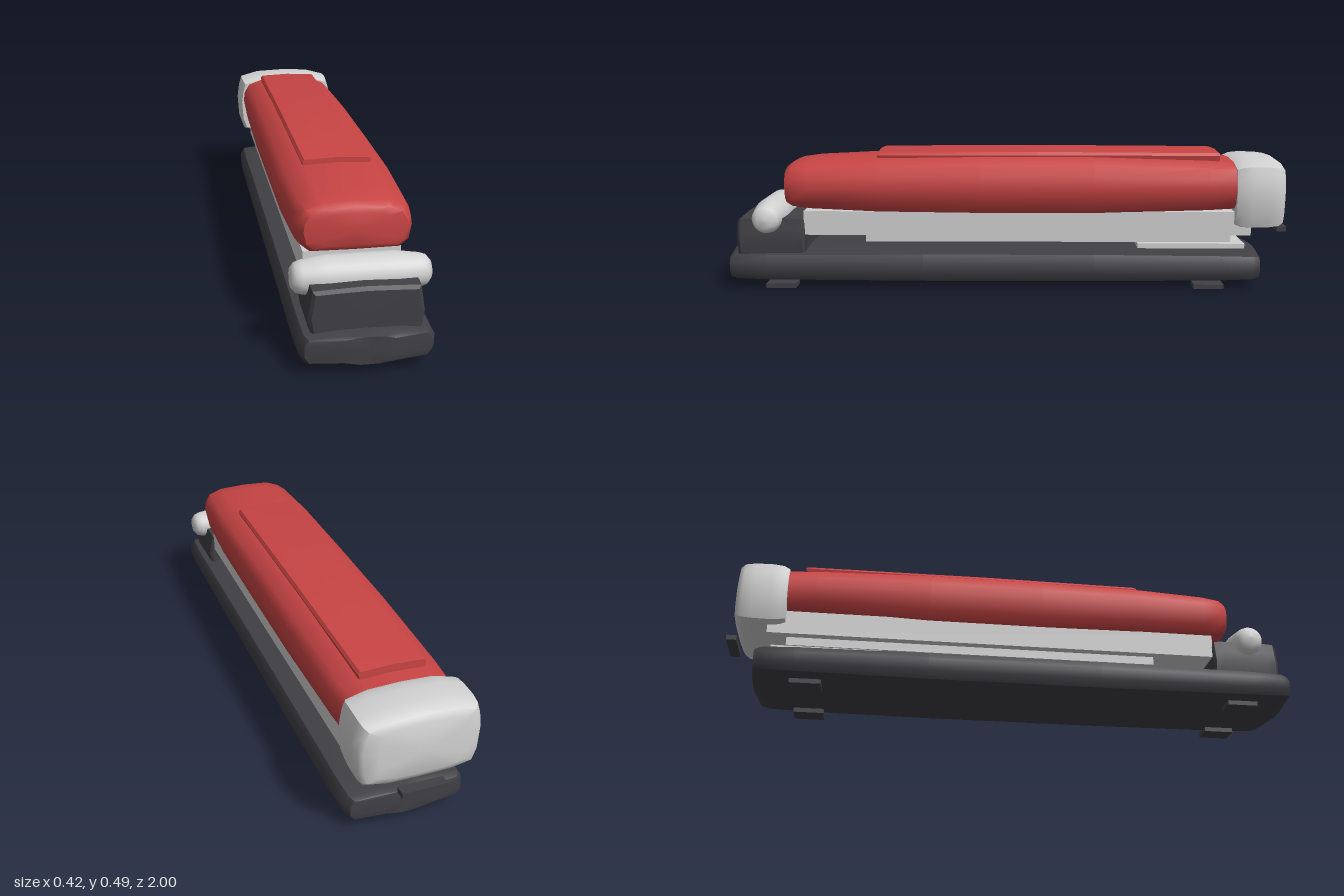
import * as THREE from 'three';
import { toCreasedNormals } from 'three/addons/utils/BufferGeometryUtils.js';

const red = new THREE.MeshStandardMaterial({ color: 0xc84444 });
red.name = 'red shell';
const dark = new THREE.MeshStandardMaterial({ color: 0x404045 });
dark.name = 'dark plastic';
const grey = new THREE.MeshStandardMaterial({ color: 0xd2d2d2 });
grey.name = 'light grey metal';

// Sweep a mirrored half profile (bottom to top) along z, front to back.
// Each station is [z, width scale, height scale about cy].
function loft(half, cy, stations, crease = 0.75) {
  const left = half.filter(p => p[0] > 0).reverse().map(([x, y]) => [-x, y]);
  const ring = [...half, ...left];
  const n = ring.length, pos = [], idx = [];
  for (const [z, sx, sy] of stations) {
    for (const [x, y] of ring) pos.push(x * sx, cy + (y - cy) * sy, z);
  }
  for (let j = 0; j < stations.length - 1; j++) {
    for (let i = 0; i < n; i++) {
      const k = (i + 1) % n, a = j * n + i, d = j * n + k;
      idx.push(a, a + n, d + n, a, d + n, d);
    }
  }
  // end caps
  const last = stations.length - 1;
  const front = pos.length / 3, back = front + 1;
  pos.push(0, cy, stations[0][0], 0, cy, stations[last][0]);
  for (let i = 0; i < n; i++) {
    const k = (i + 1) % n;
    idx.push(front, i, k, back, last * n + k, last * n + i);
  }
  const g = new THREE.BufferGeometry();
  g.setAttribute('position', new THREE.Float32BufferAttribute(pos, 3));
  g.setIndex(idx);
  return toCreasedNormals(g, crease);
}

export function createModel() {
  const group = new THREE.Group();
  const add = (name, geometry, material, x = 0, y = 0, z = 0) => {
    const mesh = new THREE.Mesh(geometry, material);
    mesh.name = name;
    mesh.position.set(x, y, z);
    group.add(mesh);
    return mesh;
  };
  const box = (name, material, w, y0, y1, z0, z1, x = 0) =>
    add(name, new THREE.BoxGeometry(w, y1 - y0, z1 - z0), material, x, (y0 + y1) / 2, (z0 + z1) / 2);

  // long base with softened edges and crowned ends
  add('base', loft(
    [[0, 0.018], [0.065, 0.018], [0.185, 0.032], [0.2, 0.06], [0.2, 0.1], [0.185, 0.127], [0.1, 0.138], [0, 0.14]],
    0.08,
    [[1, 0.4, 0.7], [0.985, 0.92, 0.74], [0.96, 0.98, 0.85], [0.85, 1, 0.92], [0.3, 1, 1],
      [-0.3, 1, 1], [-0.75, 1, 0.92], [-0.86, 0.98, 0.85], [-0.885, 0.92, 0.74], [-0.895, 0.4, 0.7]]), dark);

  // four flat feet
  for (const x of [-0.135, 0.135]) {
    for (const z of [-0.71, 0.81]) box('foot', dark, 0.07, 0, 0.016, z - 0.053, z + 0.053, x);
  }

  // hinge block and the barrel pin lying across it
  add('hingeBlock', loft(
    [[0, 0.1], [0.16, 0.1], [0.17, 0.17], [0.163, 0.21], [0.157, 0.25], [0.09, 0.253], [0, 0.256]],
    0.17,
    [[0.96, 0.94, 0.86], [0.95, 0.99, 0.98], [0.92, 1, 1], [0.76, 1, 1], [0.73, 0.99, 0.98], [0.722, 0.94, 0.9]], 0.6), dark);
  const pinProfile = [[0, -0.209], [0.028, -0.206], [0.044, -0.193], [0.05, -0.175], [0.061, -0.1],
    [0.061, 0.1], [0.05, 0.175], [0.044, 0.193], [0.028, 0.206], [0, 0.209]];
  const pin = add('hingePin', new THREE.LatheGeometry(pinProfile.map(p => new THREE.Vector2(...p)), 32),
    grey, 0, 0.251, 0.852);
  pin.rotation.z = Math.PI / 2;

  // staple magazine, the rail under it and the anvil plate on the base
  box('magazine', grey, 0.3, 0.19, 0.275, -0.855, 0.725);
  box('lowerRail', grey, 0.24, 0.16, 0.192, -0.79, 0.51);
  box('anvil', grey, 0.25, 0.138, 0.155, -0.84, -0.46);

  // red upper shell, tapering towards both ends
  add('shell', loft(
    [[0, 0.268], [0.15, 0.27], [0.18, 0.3], [0.19, 0.36], [0.185, 0.4], [0.165, 0.44], [0.11, 0.464], [0, 0.47]],
    0.36,
    [[0.795, 0.6, 0.5], [0.788, 0.82, 0.64], [0.765, 0.9, 0.76], [0.7, 0.95, 0.84], [0.46, 1, 0.95],
      [0.1, 1, 1], [-0.3, 1, 1], [-0.7, 0.98, 0.88], [-0.83, 0.95, 0.8]]), red);

  // raised panel along the top of the shell
  add('topPanel', loft(
    [[0, 0.445], [0.108, 0.445], [0.113, 0.47], [0.106, 0.481], [0, 0.487]],
    0.46,
    [[0.465, 0.98, 0.78], [0.455, 1, 0.86], [-0.1, 1, 1], [-0.735, 1, 0.82], [-0.745, 0.98, 0.74]], 0.6), red);

  // rounded cap closing the back end
  add('endCap', loft(
    [[0, 0.208], [0.11, 0.21], [0.18, 0.225], [0.195, 0.27], [0.2, 0.35], [0.193, 0.4], [0.182, 0.438], [0.11, 0.458], [0, 0.463]],
    0.335,
    [[-0.795, 0.95, 0.9], [-0.815, 0.99, 0.97], [-0.85, 1, 1], [-0.91, 1, 0.99], [-0.945, 0.98, 0.95],
      [-0.962, 0.92, 0.86], [-0.972, 0.7, 0.7], [-0.98, 0.2, 0.2]]), grey);

  // small release tab below the cap
  box('releaseTab', dark, 0.145, 0.19, 0.208, -1, -0.965);

  return group;
}
